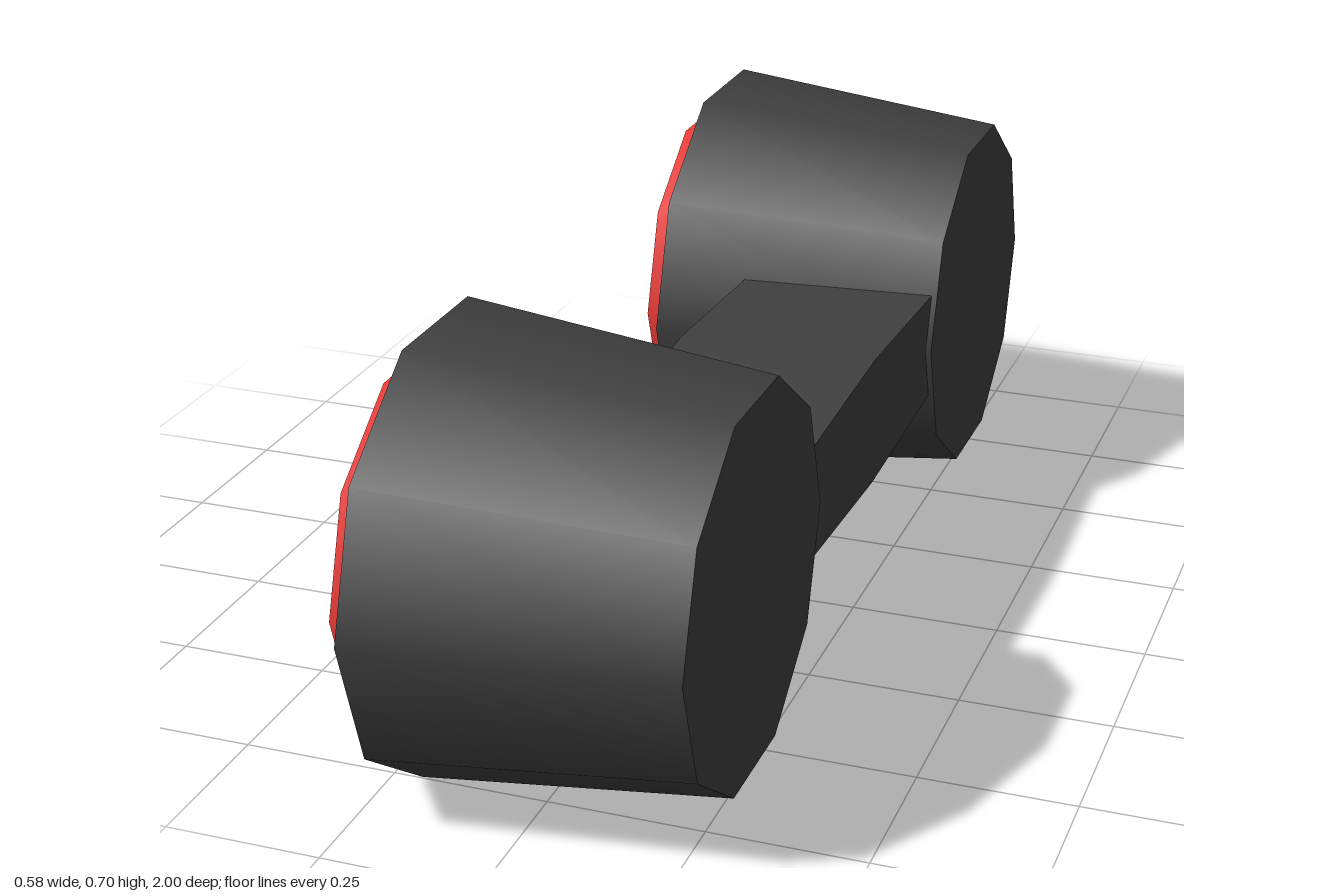
import * as THREE from 'three';

export function createModel() {
  const model = new THREE.Group();
  const charcoal = new THREE.MeshStandardMaterial({ name: 'charcoal', color: 0x404040 });
  const red = new THREE.MeshStandardMaterial({ name: 'red', color: 0xe53935 });
  const SIDES = 10;
  const AXIS_Y = 0.349;

  const add = (parent, name, geometry, material) => {
    const mesh = new THREE.Mesh(geometry, material);
    mesh.name = name;
    parent.add(mesh);
    return mesh;
  };

  // Tapered barrel, wide end towards -x
  const barrel = new THREE.CylinderGeometry(0.311, 0.366, 0.492, SIDES);
  barrel.rotateZ(-Math.PI / 2).translate(0.041, 0, 0);

  // Cap pieces: profiles of [radius, distance towards -x]
  const capPiece = (profile) =>
    new THREE.LatheGeometry(profile.map(([r, h]) => new THREE.Vector2(r, h)), SIDES)
      .rotateZ(Math.PI / 2);
  const capRim = capPiece([[0.318, 0.204], [0.298, 0.247]]);
  const capFace = capPiece([[0.298, 0.247], [0.163, 0.289], [0, 0.289]]);

  // One barrel with its red cap at each end of the handle
  for (const side of [1, -1]) {
    const end = new THREE.Group();
    end.name = side > 0 ? 'frontEnd' : 'backEnd';
    end.position.set(0, AXIS_Y, side * 0.634);
    add(end, 'barrel', barrel, charcoal);
    add(end, 'capRim', capRim, red);
    add(end, 'capFace', capFace, red);
    model.add(end);
  }

  // Handle, thickest in the middle and sunk into both barrels
  let handle = new THREE.BoxGeometry(0.333, 0.22, 0.9, 1, 1, 2);
  const p = handle.attributes.position;
  for (let i = 0; i < p.count; i++) {
    p.setY(i, p.getY(i) * (1 - 0.4 * Math.abs(p.getZ(i))));
  }
  handle = handle.toNonIndexed();
  handle.computeVertexNormals();
  add(model, 'handle', handle, charcoal).position.set(0.111, AXIS_Y, 0);

  return model;
}
